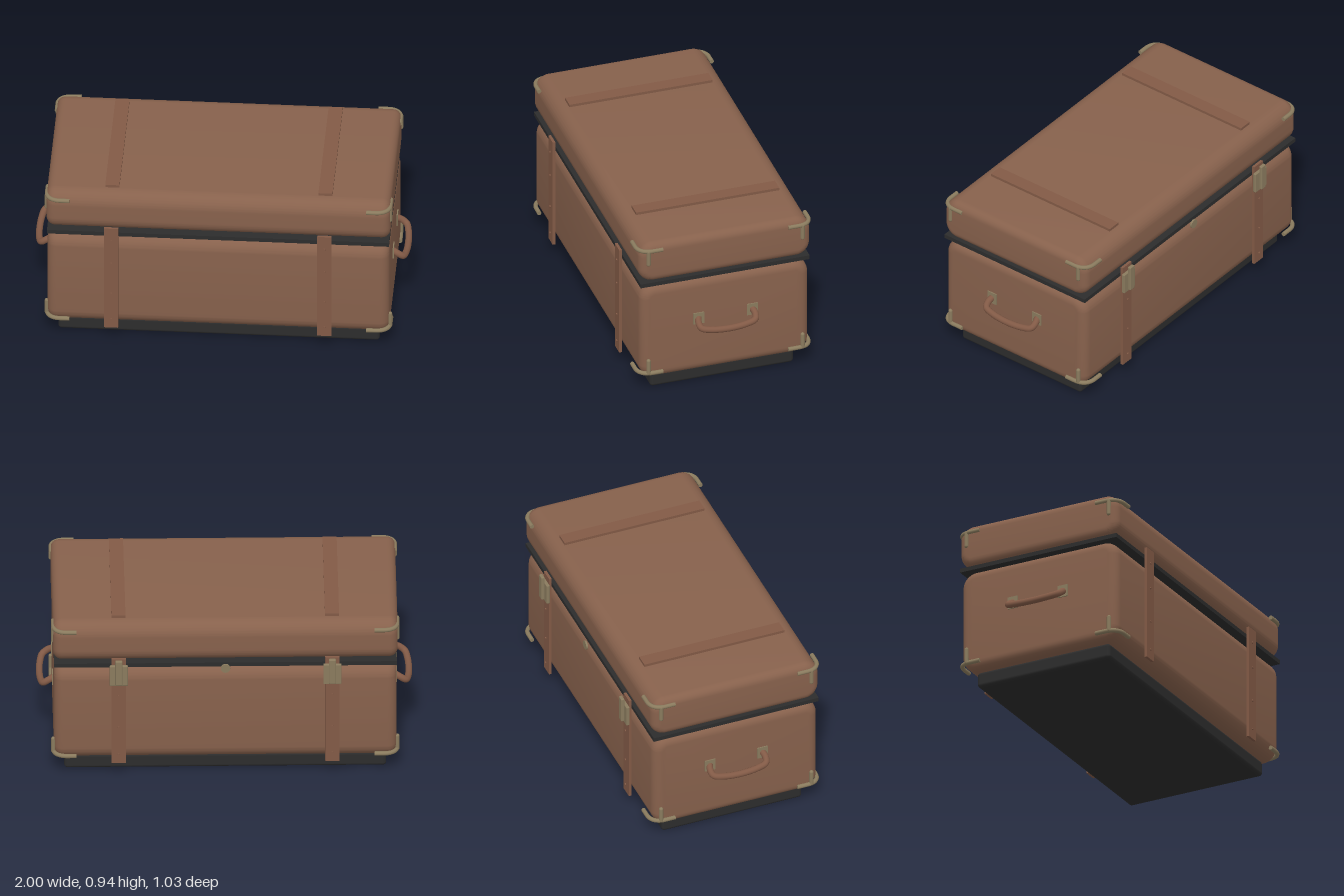
import * as THREE from 'three';
import { toCreasedNormals } from 'three/addons/utils/BufferGeometryUtils.js';
import { RoundedBoxGeometry } from 'three/addons/geometries/RoundedBoxGeometry.js';

const material = (name, color) => {
  const m = new THREE.MeshStandardMaterial({ color });
  m.name = name;
  return m;
};

export function createModel() {
  const leather = material('brown leather', 0x87614c);
  const strapLeather = material('strap leather', 0x825a46);
  const brass = material('aged brass', 0x8a7b5e);
  const black = material('black trim', 0x2c2c2c);

  const root = new THREE.Group();
  root.name = 'trunk';
  const CZ = 0.014; // middle of the trunk in z

  const add = (name, geometry, mat, x = 0, y = 0, z = 0, parent = root) => {
    const mesh = new THREE.Mesh(geometry, mat);
    mesh.name = name;
    mesh.position.set(x, y, z);
    parent.add(mesh);
    return mesh;
  };
  // box given by its limits, with optional edge rounding
  const box = (name, mat, [x0, x1], [y0, y1], [z0, z1], r = 0) => {
    const s = [x1 - x0, y1 - y0, z1 - z0];
    const g = r ? new RoundedBoxGeometry(...s, 3, r) : new THREE.BoxGeometry(...s);
    return add(name, g, mat, (x0 + x1) / 2, (y0 + y1) / 2, (z0 + z1) / 2);
  };

  // soft case: rounded cross-section run along x, with bevelled ends
  const softCase = (name, halfX, [y0, y1], [z0, z1], r, bevel) => {
    const w = (z1 - z0) / 2, h = (y1 - y0) / 2;
    const s = new THREE.Shape();
    s.moveTo(-w + r, -h).lineTo(w - r, -h);
    s.absarc(w - r, -h + r, r, -Math.PI / 2, 0);
    s.absarc(w - r, h - r, r, 0, Math.PI / 2);
    s.absarc(-w + r, h - r, r, Math.PI / 2, Math.PI);
    s.absarc(-w + r, -h + r, r, Math.PI, Math.PI * 1.5);
    const depth = 2 * (halfX - bevel);
    const g = new THREE.ExtrudeGeometry(s, {
      depth, bevelThickness: bevel, bevelSize: bevel, bevelOffset: -bevel,
      bevelSegments: 6, curveSegments: 10,
    });
    g.translate(0, 0, -depth / 2).rotateY(Math.PI / 2);
    add(name, toCreasedNormals(g, 0.6), leather, 0, (y0 + y1) / 2, (z0 + z1) / 2);
  };
  softCase('body', 0.91, [0.085, 0.66], [-0.456, 0.486], 0.085, 0.05);
  softCase('lid', 0.915, [0.69, 0.928], [-0.464, 0.492], 0.08, 0.045);

  // black base and the seam between body and lid
  box('base', black, [-0.855, 0.855], [0, 0.085], [-0.386, 0.415], 0.018);
  box('seam', black, [-0.91, 0.91], [0.665, 0.688], [-0.457, 0.487]);

  // straps with studs, and the two rear latches
  const stud = new THREE.CylinderGeometry(0.006, 0.006, 0.006, 10).rotateX(Math.PI / 2);
  for (const side of [-1, 1]) {
    const cx = side * 0.567;
    const span = (w) => [cx - w / 2, cx + w / 2];
    box('topStrap', strapLeather, span(0.075), [0.926, 0.943], [-0.387, 0.413]);
    box('frontStrap', strapLeather, span(0.075), [0.085, 0.725], [0.492, 0.507]);
    box('backStrap', strapLeather, span(0.075), [0.085, 0.725], [-0.476, -0.461]);
    for (const y of [0.14, 0.305, 0.5, 0.645]) {
      add('frontStud', stud, strapLeather, cx, y, 0.51);
      add('backStud', stud, strapLeather, cx, y, -0.482);
    }
    box('latchPlate', brass, span(0.096), [0.57, 0.69], [-0.494, -0.475], 0.004);
    box('latchLever', brass, span(0.038), [0.58, 0.73], [-0.512, -0.492], 0.006);
  }
  const lock = new THREE.CylinderGeometry(0.025, 0.025, 0.01, 24).rotateX(Math.PI / 2);
  add('lockDisc', lock, brass, 0, 0.667, -0.481);

  // corner guards: a bent bar round each corner and an upright on the end face
  const R = 0.012;
  const bend = new THREE.CurvePath();
  const v = (x, z) => new THREE.Vector3(x, 0, z);
  bend.add(new THREE.LineCurve3(v(0.79, 0.482), v(0.84, 0.482)));
  bend.add(new THREE.CubicBezierCurve3(v(0.84, 0.482), v(0.885, 0.482), v(0.913, 0.455), v(0.913, 0.41)));
  bend.add(new THREE.LineCurve3(v(0.913, 0.41), v(0.913, 0.35)));
  const bendGeo = new THREE.TubeGeometry(bend, 28, R, 10);
  const capGeo = new THREE.CircleGeometry(R, 10);
  const upright = new THREE.CapsuleGeometry(R, 0.075, 4, 10);
  for (const [y, dir] of [[0.887, -1], [0.125, 1]]) {
    for (let i = 0; i < 4; i++) {
      const sx = i % 2 ? 1 : -1, sz = i < 2 ? 1 : -1;
      const guard = new THREE.Group();
      guard.name = 'cornerGuard';
      guard.position.set(0, y, CZ);
      guard.scale.set(sx, 1, sz);
      add('bentBar', bendGeo, brass, 0, 0, 0, guard);
      add('barEnd', capGeo, brass, 0.79, 0, 0.482, guard).rotation.y = -Math.PI / 2;
      add('barEnd', capGeo, brass, 0.913, 0, 0.35, guard).rotation.y = Math.PI;
      add('upright', upright, brass, 0.913, dir * 0.04, 0.43, guard);
      root.add(guard);
    }
  }

  // carrying handles, hanging outward from two plates
  const half = [[0.905, 0.42, 0.15], [0.935, 0.404, 0.158], [0.962, 0.384, 0.15], [0.975, 0.373, 0.1]];
  const points = [
    ...half, [0.981, 0.367, 0], ...half.slice().reverse().map(([x, y, z]) => [x, y, -z]),
  ].map((p) => new THREE.Vector3(...p));
  const grip = new THREE.TubeGeometry(new THREE.CatmullRomCurve3(points), 48, 0.018, 12);
  for (const side of [-1, 1]) {
    const handle = new THREE.Group();
    handle.name = 'handle';
    handle.position.z = CZ;
    if (side < 0) handle.scale.x = -1;
    add('grip', grip, strapLeather, 0, 0, 0, handle);
    for (const z of [-0.15, 0.15]) {
      add('handlePlate', new THREE.BoxGeometry(0.014, 0.068, 0.06), brass, 0.909, 0.418, z, handle);
    }
    root.add(handle);
  }
  return root;
}
